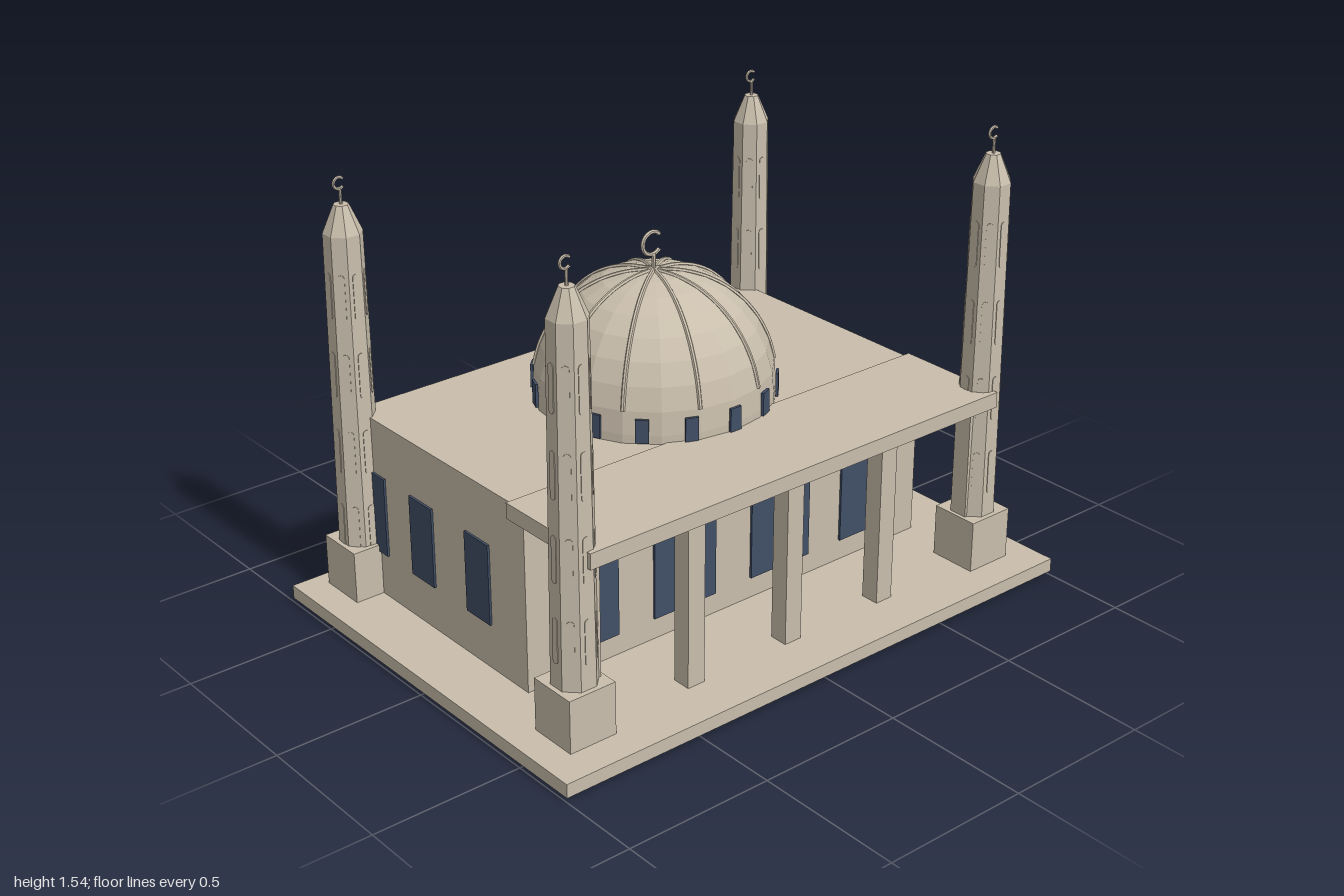
import * as THREE from 'three';

const stone = new THREE.MeshStandardMaterial({ color: 0xc9beac, flatShading: true });
stone.name = 'sandstone';
const glass = new THREE.MeshStandardMaterial({ color: 0x414f66, flatShading: true });
glass.name = 'blue glass';

function add(parent, name, geometry, material, x = 0, y = 0, z = 0) {
  const mesh = new THREE.Mesh(geometry, material);
  mesh.name = name;
  mesh.position.set(x, y, z);
  parent.add(mesh);
  return mesh;
}

// Box given by its minimum and maximum on each axis
function block(parent, name, material, x0, x1, y0, y1, z0, z1) {
  return add(parent, name, new THREE.BoxGeometry(x1 - x0, y1 - y0, z1 - z0), material,
    (x0 + x1) / 2, (y0 + y1) / 2, (z0 + z1) / 2);
}

// Rod carrying a crescent that opens towards +x
function finial(rodHeight, radius, tube) {
  const g = new THREE.Group();
  g.name = 'finial';
  add(g, 'finialRod', new THREE.CylinderGeometry(tube, tube, rodHeight, 8), stone, 0, rodHeight / 2);
  const arc = Math.PI * 1.55;
  const ring = add(g, 'crescent', new THREE.TorusGeometry(radius, tube, 6, 20, arc), stone,
    -radius * 0.2, rodHeight + radius * 0.9);
  ring.rotation.z = Math.PI - arc / 2;
  return g;
}

// Thin plate with rounded ends, used for the slots on the shafts
function slotGeometry(width, height) {
  const r = width / 2, h = height / 2 - r;
  const s = new THREE.Shape();
  s.absarc(0, h, r, 0, Math.PI);
  s.absarc(0, -h, r, Math.PI, Math.PI * 2);
  s.closePath();
  return new THREE.ExtrudeGeometry(s, { depth: 0.006, bevelEnabled: false, curveSegments: 4 });
}

function minaret(name, shoulder) {
  const g = new THREE.Group();
  g.name = name;
  const base = 0.235, flat = Math.cos(Math.PI / 8);
  const low = 0.067, high = 0.057;
  block(g, 'plinth', stone, -0.083, 0.083, 0, base, -0.083, 0.083);
  const shaft = add(g, 'shaft', new THREE.CylinderGeometry(high / flat, low / flat, shoulder - base, 8),
    stone, 0, (shoulder + base) / 2);
  const cap = add(g, 'cap', new THREE.CylinderGeometry(0.022 / flat, high / flat, 0.088, 8),
    stone, 0, shoulder + 0.044);
  shaft.rotation.y = cap.rotation.y = Math.PI / 8;
  // Four slots up each of the eight faces
  const slot = slotGeometry(0.022, 0.15);
  for (let face = 0; face < 8; face++) {
    const side = new THREE.Group();
    side.name = 'slotColumn';
    side.rotation.y = face * Math.PI / 4;
    g.add(side);
    for (let i = 0; i < 4; i++) {
      const y = shoulder - 0.195 - i * 0.26;
      const t = (y - base) / (shoulder - base);
      const plate = add(side, 'slot', slot, stone, 0, y, low + (high - low) * t - 0.004);
      plate.rotation.x = -(low - high) / (shoulder - base);
    }
  }
  const top = finial(0.052, 0.018, 0.005);
  top.position.y = shoulder + 0.086;
  g.add(top);
  return g;
}

function dome() {
  const g = new THREE.Group();
  g.name = 'dome';
  const R = 0.386, spring = 0.7, rise = 0.388, rows = 8;
  const at = (a) => new THREE.Vector2(R * Math.pow(Math.max(0, Math.cos(a)), 0.9), spring + rise * Math.sin(a));
  const profile = [new THREE.Vector2(R, 0.66)];
  for (let i = 0; i <= rows; i++) profile.push(at(i / rows * Math.PI / 2));
  profile[rows + 1].x = 0;
  add(g, 'domeShell', new THREE.LatheGeometry(profile, 20), stone);

  // Ten ribs
  const points = [];
  for (let i = 1; i <= rows; i++) points.push(new THREE.Vector3(0, profile[i + 1].y, profile[i + 1].x));
  const rib = new THREE.TubeGeometry(new THREE.CatmullRomCurve3(points), 28, 0.007, 6);
  for (let i = 0; i < 10; i++) {
    add(g, 'rib', rib, stone).rotation.y = (i + 0.5) * Math.PI / 5;
  }

  // Sixteen small windows round the foot
  const pane = new THREE.BoxGeometry(0.042, 0.078, 0.009);
  for (let i = 0; i < 16; i++) {
    const a = i * Math.PI / 8;
    add(g, 'domeWindow', pane, glass, Math.sin(a) * 0.388, 0.717, Math.cos(a) * 0.388).rotation.y = a;
  }
  const top = finial(0.058, 0.037, 0.007);
  top.position.y = spring + rise - 0.004;
  g.add(top);
  g.position.z = -0.106;
  return g;
}

export function createModel() {
  const model = new THREE.Group();
  model.name = 'domedHall';

  // Platform, hall and porch
  block(model, 'platform', stone, -1, 1, 0.014, 0.06, -0.722, 0.722);
  block(model, 'hall', stone, -0.8, 0.8, 0.06, 0.672, -0.6, 0.275);
  block(model, 'porchRoof', stone, -0.815, 0.815, 0.625, 0.677, 0.213, 0.607);
  for (let i = -2; i <= 2; i++) {
    const x = i * 0.39;
    block(model, 'porchColumn', stone, x - 0.032, x + 0.032, 0.06, 0.626, 0.497, 0.561);
  }

  // Tall front windows
  for (const x of [-0.583, -0.197, 0.197, 0.583]) {
    block(model, 'frontWindow', glass, x - 0.123, x + 0.123, 0.133, 0.51, 0.274, 0.283);
  }
  // Three windows on each side
  for (const side of [-1, 1]) {
    for (const z of [0.04, -0.252, -0.51]) {
      const w = block(model, 'sideWindow', glass, -0.0045, 0.0045, 0.213, 0.485, z - 0.06, z + 0.06);
      w.position.x = side * 0.803;
    }
  }

  model.add(dome());

  // Corner towers, the rear pair slightly lower
  for (const side of [-1, 1]) {
    const front = minaret('frontMinaret', 1.365);
    front.position.set(side * 0.818, 0, 0.528);
    const back = minaret('backMinaret', 1.275);
    back.position.set(side * 0.818, 0, -0.58);
    model.add(front, back);
  }
  return model;
}
